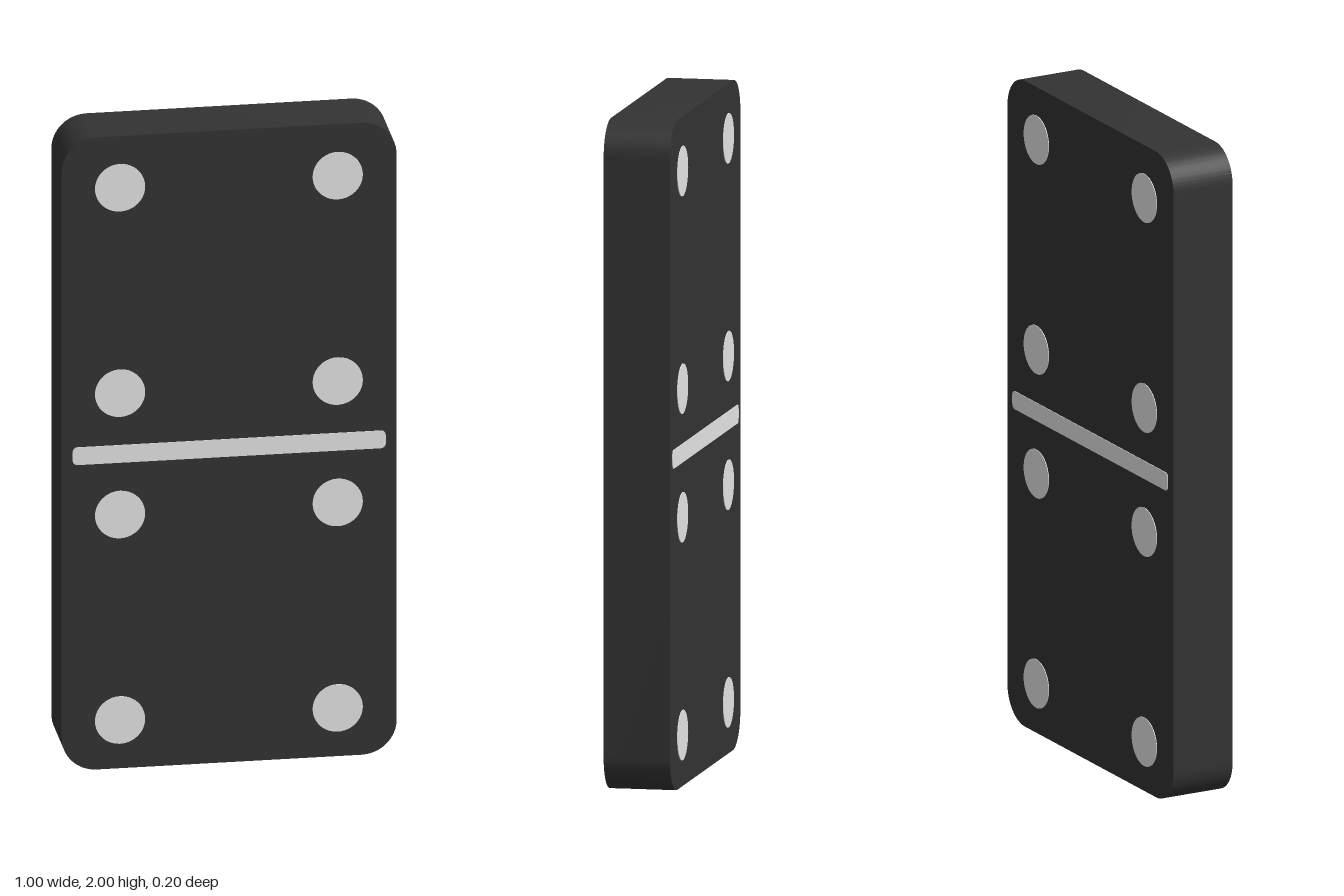
import * as THREE from 'three';
import { toCreasedNormals } from 'three/addons/utils/BufferGeometryUtils.js';

const WIDTH = 1, HEIGHT = 2, DEPTH = 0.2, CORNER = 0.105;
const PLATE = 0.002; // thickness of the painted marks

// Rounded rectangle extruded along z and centred on the origin
function roundedSlab(w, h, r, depth, segments) {
  const x = w / 2, y = h / 2;
  const shape = new THREE.Shape();
  shape.absarc(x - r, y - r, r, 0, Math.PI / 2);
  shape.absarc(-x + r, y - r, r, Math.PI / 2, Math.PI);
  shape.absarc(-x + r, -y + r, r, Math.PI, Math.PI * 1.5);
  shape.absarc(x - r, -y + r, r, Math.PI * 1.5, Math.PI * 2);
  const geometry = new THREE.ExtrudeGeometry(shape, { depth, bevelEnabled: false, curveSegments: segments });
  geometry.translate(0, 0, -depth / 2);
  return toCreasedNormals(geometry, 0.6);
}

export function createModel() {
  const black = new THREE.MeshStandardMaterial({ name: 'tileBlack', color: 0x333333 });
  const white = new THREE.MeshStandardMaterial({ name: 'markWhite', color: 0xe6e6e6 });

  const model = new THREE.Group();
  model.name = 'dominoTile';

  // Tile body
  const body = new THREE.Mesh(roundedSlab(WIDTH, HEIGHT, CORNER, DEPTH, 16), black);
  body.name = 'tileBody';
  body.position.y = HEIGHT / 2;
  model.add(body);

  // Painted marks, the same on both faces
  const pipGeometry = new THREE.CylinderGeometry(0.075, 0.075, PLATE, 40).rotateX(Math.PI / 2);
  const barGeometry = roundedSlab(0.935, 0.056, 0.015, PLATE, 4);
  for (const side of [1, -1]) {
    const marks = new THREE.Group();
    marks.name = side > 0 ? 'frontMarks' : 'backMarks';
    marks.position.z = side * (DEPTH / 2 + PLATE / 2);

    const bar = new THREE.Mesh(barGeometry, white);
    bar.name = 'dividerBar';
    bar.position.y = 0.995;
    marks.add(bar);

    // Four pips on each half
    for (const y of [0.153, 0.803, 1.187, 1.837]) {
      for (const x of [-0.326, 0.324]) {
        const pip = new THREE.Mesh(pipGeometry, white);
        pip.name = 'pip';
        pip.position.set(x, y, 0);
        marks.add(pip);
      }
    }
    model.add(marks);
  }
  return model;
}
